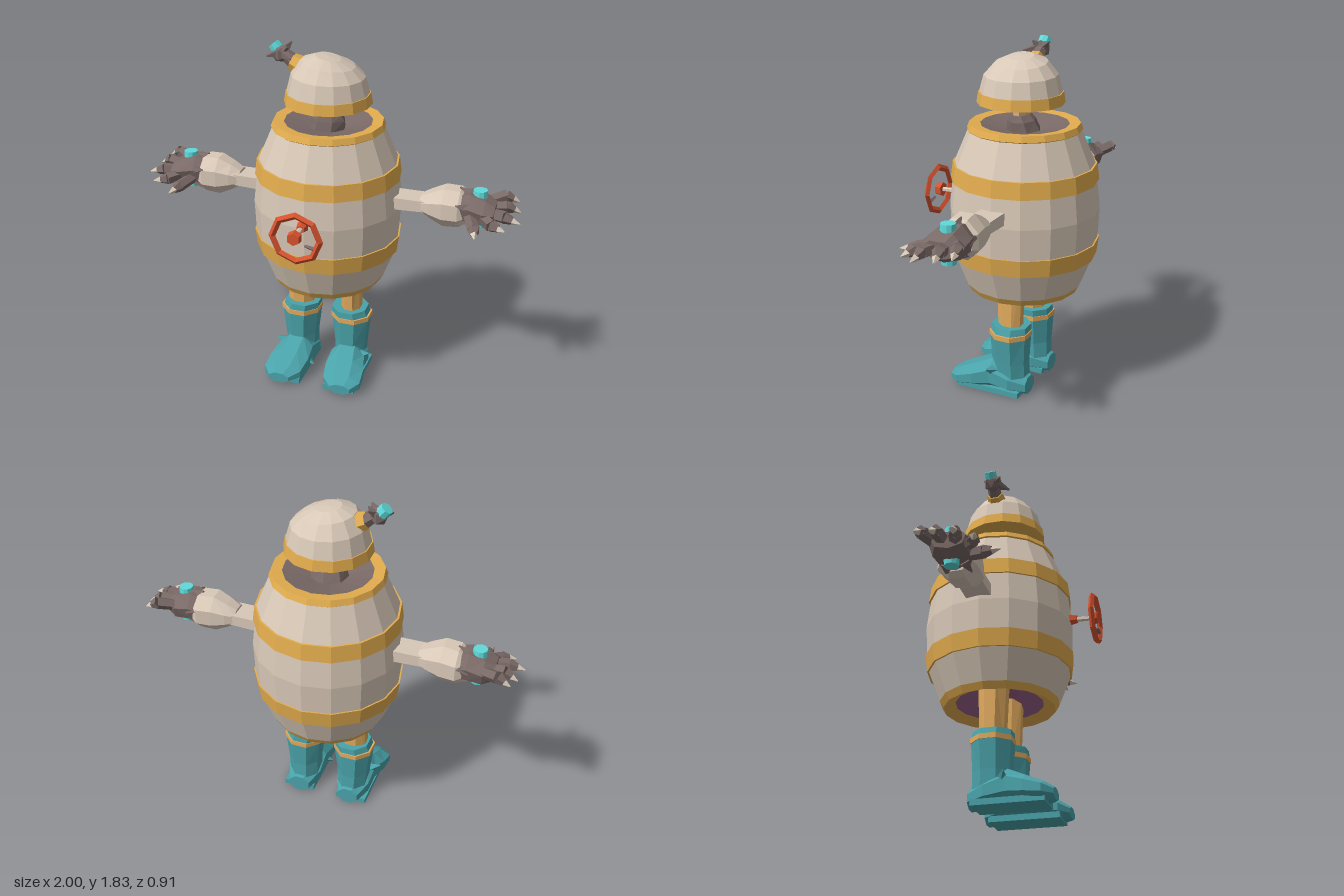
import * as THREE from 'three';

const mat = (name, color) => Object.assign(new THREE.MeshStandardMaterial({ color }), { name });

// Faceted copy of a geometry, optionally mirrored across x
function facet(geo, side = 1) {
  const g = geo.index ? geo.toNonIndexed() : geo;
  if (side < 0) {
    g.scale(-1, 1, 1);
    const p = g.attributes.position;
    const a = new THREE.Vector3(), b = new THREE.Vector3();
    for (let i = 0; i < p.count; i += 3) {
      a.fromBufferAttribute(p, i);
      b.fromBufferAttribute(p, i + 1);
      p.setXYZ(i, b.x, b.y, b.z);
      p.setXYZ(i + 1, a.x, a.y, a.z);
    }
  }
  g.computeVertexNormals();
  return g;
}

// Capped loft along an axis; each ring is [position, centreU, centreV, radiusU, radiusV]
function loft(axis, rings, n = 8) {
  const k = 'xyz'.indexOf(axis), out = [];
  const pt = (r, j) => {
    const t = ((j + 0.5) / n) * Math.PI * 2, v = [0, 0, 0];
    v[k] = r[0];
    v[(k + 1) % 3] = r[1] + Math.cos(t) * r[3];
    v[(k + 2) % 3] = r[2] + Math.sin(t) * r[4];
    return v;
  };
  const first = rings[0], last = rings[rings.length - 1];
  const mid = r => pt([r[0], r[1], r[2], 0, 0], 0);
  for (let j = 0; j < n; j++) {
    for (let i = 0; i < rings.length - 1; i++) {
      const a = pt(rings[i], j), b = pt(rings[i], j + 1);
      const c = pt(rings[i + 1], j + 1), d = pt(rings[i + 1], j);
      out.push(...a, ...b, ...c, ...a, ...c, ...d);
    }
    out.push(...mid(first), ...pt(first, j + 1), ...pt(first, j));
    out.push(...mid(last), ...pt(last, j), ...pt(last, j + 1));
  }
  const g = new THREE.BufferGeometry();
  g.setAttribute('position', new THREE.Float32BufferAttribute(out, 3));
  return g;
}

// Tapered rod between two points
function rod(from, to, r0, r1, n = 5) {
  const a = new THREE.Vector3(...from), b = new THREE.Vector3(...to);
  const d = b.clone().sub(a);
  const g = new THREE.CylinderGeometry(r1, r0, d.length(), n);
  g.applyQuaternion(new THREE.Quaternion().setFromUnitVectors(new THREE.Vector3(0, 1, 0), d.normalize()));
  return g.translate(...a.add(b).multiplyScalar(0.5).toArray());
}

const lathe = (pts, n) => new THREE.LatheGeometry(pts.map(p => new THREE.Vector2(...p)), n);

export function createModel() {
  const model = new THREE.Group();
  model.name = 'barrelFigure';
  const beige = mat('beigePlate', 0xd8c8b7), gold = mat('goldTrim', 0xe2ac4e);
  const dark = mat('darkBrown', 0x7a6a67), teal = mat('tealBoot', 0x4aa3aa);
  const red = mat('redValve', 0xd8522e), cyan = mat('cyanGem', 0x5fdada);
  const purple = mat('purpleBase', 0x9c5f87), tan = mat('tanCloth', 0xe2ab5e);
  const skin = mat('neckTan', 0xdbb083);

  const add = (name, geo, material, parent = model, side = 1) => {
    const m = new THREE.Mesh(facet(geo, side), material);
    m.name = name;
    parent.add(m);
    return m;
  };
  const group = name => {
    const g = new THREE.Group();
    g.name = name;
    model.add(g);
    return g;
  };

  // Barrel body: stacked plates and hoops, dished at both ends
  const body = group('body');
  const N = 16;
  body.position.set(-0.005, 0, -0.065);
  [
    ['bottomHoop', gold, [[0.225, 0.59], [0.285, 0.56], [0.305, 0.595]]],
    ['lowerPlates', beige, [[0.305, 0.595], [0.365, 0.75]]],
    ['lowerHoop', gold, [[0.365, 0.75], [0.374, 0.75], [0.386, 0.84], [0.378, 0.84]]],
    ['middlePlates', beige, [[0.378, 0.84], [0.385, 1.0], [0.368, 1.15]]],
    ['upperHoop', gold, [[0.368, 1.15], [0.378, 1.15], [0.367, 1.235], [0.357, 1.235]]],
    ['upperPlates', beige, [[0.357, 1.235], [0.285, 1.405]]],
    ['topHoop', gold, [[0.285, 1.405], [0.292, 1.41], [0.28, 1.44], [0.225, 1.435]]],
    ['collarFunnel', dark, [[0.225, 1.435], [0.08, 1.4], [0, 1.4]]],
    ['underside', purple, [[0, 0.66], [0.1, 0.65], [0.225, 0.59]]],
  ].forEach(([name, m, pts]) => add(name, lathe(pts, N), m, body));

  // Neck
  add('neckBase', loft('y', [[1.39, -0.06, -0.01, 0.09, 0.1], [1.45, -0.05, 0, 0.07, 0.09], [1.48, -0.04, 0, 0.05, 0.075]], 7), dark);
  add('neck', loft('y', [[1.43, -0.045, -0.01, 0.04, 0.07], [1.6, -0.045, -0.01, 0.04, 0.07]], 8), skin);

  // Helmet dome with rim
  const helmet = group('helmet');
  helmet.position.set(0, 0, -0.045);
  add('helmetRim', lathe([[0, 1.56], [0.19, 1.555], [0.222, 1.54], [0.213, 1.595], [0.2, 1.595]], 14), gold, helmet);
  const dome = lathe([[0.208, 1.595], [0.186, 1.68], [0.135, 1.74], [0.065, 1.77], [0, 1.775]], 14);
  const dp = dome.attributes.position;
  for (let i = 0; i < dp.count; i++) {
    // the crown sags on its left and rises on its right
    dp.setY(i, dp.getY(i) - Math.max(0, dp.getY(i) - 1.66) * dp.getX(i) * 1.5);
  }
  add('helmetDome', dome, beige, helmet);

  // Helmet ornament
  const ornament = group('helmetOrnament');
  add('ornamentBase', rod([-0.1, 1.69, -0.045], [-0.19, 1.73, -0.045], 0.06, 0.042, 6), gold, ornament);
  add('ornamentStalk', rod([-0.17, 1.72, -0.045], [-0.23, 1.765, -0.045], 0.04, 0.03, 6), dark, ornament);
  add('ornamentKnob', new THREE.IcosahedronGeometry(0.05, 0).translate(-0.245, 1.765, -0.04), dark, ornament);
  for (const [x, y, z] of [[-0.2, 1.81, -0.01], [-0.21, 1.81, -0.1], [-0.3, 1.76, 0.015], [-0.17, 1.76, 0.03]]) {
    add('ornamentSpike', rod([-0.24, 1.77, -0.04], [x, y, z], 0.035, 0.004, 4), dark, ornament);
  }
  add('ornamentGem', rod([-0.26, 1.78, -0.045], [-0.285, 1.812, -0.045], 0.034, 0.032, 8), cyan, ornament);

  // Valve wheel on the belly
  const valve = group('valve');
  add('valveFlange', rod([-0.01, 1.015, 0.28], [-0.01, 1.015, 0.35], 0.04, 0.022, 6), red, valve);
  add('valveStem', rod([-0.01, 1.015, 0.3], [-0.01, 1.01, 0.44], 0.015, 0.012, 6), beige, valve);
  add('valveHub', rod([-0.01, 1.01, 0.42], [-0.01, 1.01, 0.455], 0.038, 0.033, 6), red, valve);
  add('valveWheel', new THREE.TorusGeometry(0.122, 0.018, 4, 8).scale(1, 1, 0.8).translate(0, 1.012, 0.442), red, valve);
  add('valveHandle', rod([0.045, 0.98, 0.44], [0.09, 0.97, 0.44], 0.008, 0.012, 4), dark, valve);

  for (const side of [-1, 1]) {
    const label = side > 0 ? 'left' : 'right';

    // Arm: sleeve, gauntlet and hand
    const arm = group(label + 'Arm');
    const put = (name, geo, m) => add(name, geo, m, arm, side);
    put('upperArm', loft('x', [[0.33, 1.05, -0.07, 0.045, 0.09], [0.54, 1.055, -0.07, 0.04, 0.09]], 4), beige);
    put('gauntlet', loft('x', [
      [0.49, 1.055, -0.07, 0.045, 0.065], [0.54, 1.055, -0.07, 0.075, 0.085],
      [0.61, 1.055, -0.07, 0.11, 0.1], [0.69, 1.055, -0.075, 0.105, 0.105], [0.72, 1.055, -0.075, 0.08, 0.085],
    ], 8), beige);
    put('palm', loft('x', [
      [0.67, 1.06, -0.075, 0.08, 0.085], [0.74, 1.07, -0.07, 0.085, 0.1],
      [0.82, 1.06, -0.065, 0.075, 0.11], [0.87, 1.06, -0.06, 0.045, 0.085],
    ], 7), dark);
    // Gems on the back and the palm of the hand
    put('handGem', rod([0.785, 1.1, -0.07], [0.785, 1.163, -0.07], 0.04, 0.036, 10), cyan);
    put('palmGem', rod([0.785, 1.02, -0.07], [0.785, 0.968, -0.07], 0.04, 0.036, 10), cyan);

    // Fingers: knuckle, end and pale claw
    const fingers = [
      [[0.83, 1.08, -0.14], [0.9, 1.1, -0.18], [0.965, 1.07, -0.19]],
      [[0.85, 1.07, -0.09], [0.92, 1.08, -0.1], [0.985, 1.05, -0.11]],
      [[0.85, 1.06, -0.03], [0.92, 1.06, -0.01], [1.0, 1.04, 0.0]],
      [[0.82, 1.05, 0.01], [0.87, 1.04, 0.06], [0.94, 1.03, 0.085]],
      [[0.75, 1.04, 0.0], [0.79, 1.02, 0.09], [0.81, 1.01, 0.17]],
    ];
    for (const [a, b, c] of fingers) {
      const m = b.map((v, i) => v + (c[i] - v) * 0.5);
      put('fingerKnuckle', rod(a, b, 0.03, 0.033), dark);
      put('fingerEnd', rod(b, m, 0.033, 0.02), dark);
      put('fingerClaw', rod(m, c, 0.02, 0.003, 4), beige);
    }
    // Jagged cuff plates around the wrist
    for (let i = 0; i < 5; i++) {
      const t = i * 1.257 + 0.4, s = Math.sin(t), c = Math.cos(t);
      put('cuffSpike', rod([0.74, 1.06 + s * 0.06, -0.07 + c * 0.07], [0.68, 1.06 + s * 0.1, -0.07 + c * 0.1], 0.033, 0.004, 4), dark);
    }

    // Leg and boot
    const leg = group(label + 'Leg');
    const fit = (name, geo, m) => add(name, geo, m, leg, side);
    const x = side > 0 ? 0.135 : 0.15;
    const w = side > 0 ? 0.055 : 0.075;
    fit('leg', loft('y', [[0.34, -0.055, x, 0.065, w], [0.66, -0.055, x - 0.005, 0.08, w]], 8), tan);
    fit('bootShaft', loft('y', [
      [0.04, -0.06, x - 0.005, 0.1, 0.085], [0.18, -0.055, x, 0.1, 0.09],
      [0.33, -0.055, x, 0.108, 0.108], [0.385, -0.055, x - 0.01, 0.105, 0.1],
    ], 8), teal);
    fit('bootStripe', loft('y', [[0.324, -0.055, x, 0.112, 0.112], [0.35, -0.055, x, 0.112, 0.112]], 8), tan);
    fit('bootFoot', loft('z', [
      [-0.165, x, 0.05, 0.06, 0.05], [-0.08, x, 0.07, 0.1, 0.07], [0.03, x + 0.005, 0.095, 0.1, 0.095],
      [0.12, x + 0.015, 0.075, 0.115, 0.072], [0.21, x + 0.025, 0.055, 0.11, 0.05], [0.26, x + 0.03, 0.045, 0.06, 0.03],
    ], 8), teal);
    fit('bootSole', new THREE.BoxGeometry(0.17, 0.03, 0.36).translate(x + 0.01, 0.017, 0.04), teal);
    fit('bootFlap', rod([x + 0.03, 0.11, 0], [x + 0.125, 0.15, 0.03], 0.05, 0.004, 4), teal);
    fit('bootFlap', rod([x - 0.02, 0.08, 0.05], [x - 0.11, 0.05, 0.08], 0.05, 0.004, 4), teal);
  }
  return model;
}
